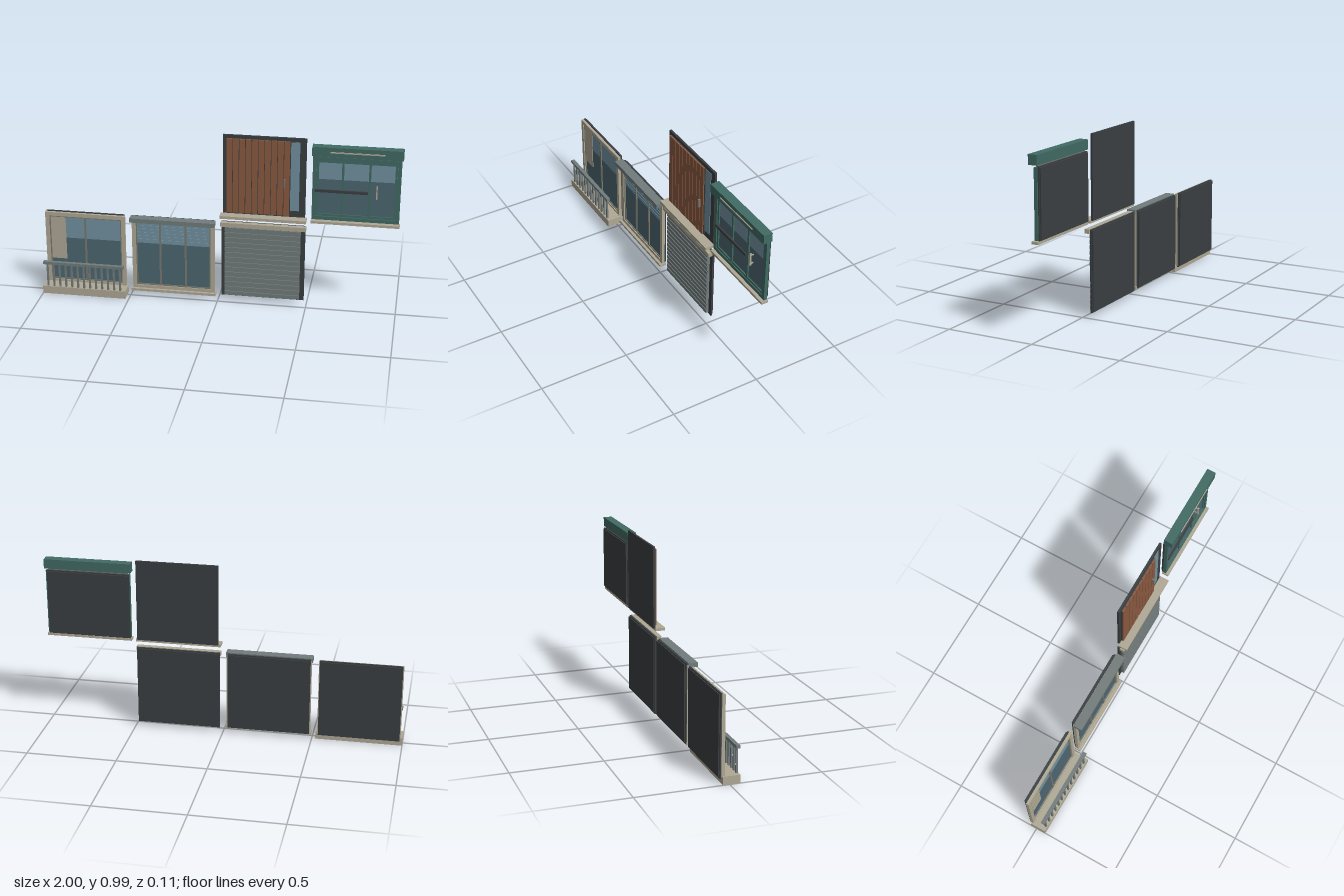
import * as THREE from 'three';

const mat = (name, color) => {
  const m = new THREE.MeshStandardMaterial({ color });
  m.name = name;
  return m;
};

export function createModel() {
  const stone = mat('stone', 0xb0a995);
  const charcoal = mat('charcoal', 0x3a3f41);
  const grey = mat('grey metal', 0x737c7c);
  const green = mat('green paint', 0x426b64);
  const wood = mat('wood', 0x8b5a41);
  const skyGlass = mat('light glass', 0x7293a2);
  const darkGlass = mat('dark glass', 0x4d6772);
  const bronze = mat('bronze', 0x7a7a70);

  const model = new THREE.Group();
  model.name = 'facadeModules';

  // Box given by its limits on each axis
  const box = (parent, name, m, x0, x1, y0, y1, z0, z1) => {
    const mesh = new THREE.Mesh(new THREE.BoxGeometry(x1 - x0, y1 - y0, z1 - z0), m);
    mesh.position.set((x0 + x1) / 2, (y0 + y1) / 2, (z0 + z1) / 2);
    mesh.name = name;
    parent.add(mesh);
    return mesh;
  };

  // Rectangular frame with an open middle
  const frame = (parent, name, m, x0, x1, y0, y1, w, z0, z1) => {
    const s = new THREE.Shape([[x0, y0], [x1, y0], [x1, y1], [x0, y1]].map(p => new THREE.Vector2(...p)));
    s.holes.push(new THREE.Path([[x0 + w, y0 + w], [x0 + w, y1 - w], [x1 - w, y1 - w], [x1 - w, y0 + w]]
      .map(p => new THREE.Vector2(...p))));
    const mesh = new THREE.Mesh(new THREE.ExtrudeGeometry(s, { depth: z1 - z0, bevelEnabled: false }), m);
    mesh.position.z = z0;
    mesh.name = name;
    parent.add(mesh);
  };

  const panel = name => {
    const g = new THREE.Group();
    g.name = name;
    model.add(g);
    return g;
  };

  // Dark rear board in two steps
  const backing = (g, x0, x1, y0, y1) => {
    box(g, 'backingBoard', charcoal, x0, x1, y0, y1, -0.048, -0.039);
    box(g, 'rearBoard', charcoal, x0 + 0.006, x1 - 0.006, y0 + 0.008, y1 - 0.006, -0.055, -0.047);
  };

  // Glass split into a dark lower and a light upper field
  const glazing = (g, x0, x1, y0, ySplit, y1) => {
    box(g, 'lowerGlass', darkGlass, x0, x1, y0, ySplit, -0.04, -0.035);
    box(g, 'upperGlass', skyGlass, x0, x1, ySplit, y1, -0.04, -0.035);
  };

  // Balcony window
  const balcony = panel('balconyWindow');
  backing(balcony, -0.985, -0.535, 0.03, 0.476);
  frame(balcony, 'windowFrame', stone, -0.99, -0.53, 0.035, 0.471, 0.022, -0.041, -0.023);
  frame(balcony, 'sash', bronze, -0.969, -0.551, 0.056, 0.45, 0.008, -0.038, -0.029);
  glazing(balcony, -0.965, -0.555, 0.06, 0.315, 0.446);
  box(balcony, 'mullion', bronze, -0.766, -0.756, 0.06, 0.446, -0.036, -0.028);
  box(balcony, 'curtain', stone, -0.961, -0.875, 0.185, 0.442, -0.036, -0.032);
  box(balcony, 'balconySlab', stone, -1, -0.52, 0, 0.045, -0.035, 0.057);
  box(balcony, 'handrail', grey, -0.992, -0.528, 0.181, 0.197, 0.036, 0.057);
  for (let i = 0; i < 13; i++) {
    const x = -0.97 + i * 0.035;
    box(balcony, 'baluster', grey, x - 0.005, x + 0.005, 0.045, 0.182, 0.042, 0.052);
  }

  // Three-pane window with a blind
  const triple = panel('blindWindow');
  backing(triple, -0.485, -0.025, 0.03, 0.476);
  frame(triple, 'windowFrame', stone, -0.49, -0.02, 0.036, 0.468, 0.022, -0.041, -0.023);
  frame(triple, 'sash', bronze, -0.469, -0.041, 0.057, 0.447, 0.007, -0.038, -0.029);
  glazing(triple, -0.465, -0.045, 0.06, 0.315, 0.446);
  for (let i = 0; i < 6; i++) {
    const y = 0.325 + i * 0.021;
    box(triple, 'blindSlat', skyGlass, -0.462, -0.048, y, y + 0.014, -0.036, -0.0325);
  }
  for (const x of [-0.33, -0.185]) {
    box(triple, 'mullion', bronze, x - 0.005, x + 0.005, 0.06, 0.446, -0.036, -0.028);
  }
  box(triple, 'headerBox', grey, -0.495, -0.015, 0.455, 0.48, -0.036, 0.015);
  box(triple, 'sill', stone, -0.497, -0.013, 0.026, 0.04, -0.045, -0.007);

  // Closed roller shutter
  const shutter = panel('rollerShutter');
  backing(shutter, 0.018, 0.485, 0.026, 0.478);
  box(shutter, 'shutterCurtain', grey, 0.038, 0.46, 0.034, 0.456, -0.04, -0.028);
  const slats = 14, pitch = 0.42 / slats;
  for (let i = 0; i < slats; i++) {
    const y = 0.035 + i * pitch;
    box(shutter, 'shutterSlat', grey, 0.038, 0.46, y, y + pitch * 0.75, -0.03, -0.022);
  }
  box(shutter, 'lintel', stone, 0.015, 0.49, 0.456, 0.48, -0.036, -0.01);

  // Sliding timber screen
  const screen = panel('timberScreen');
  box(screen, 'backingBoard', charcoal, 0.025, 0.48, 0.526, 0.985, -0.055, -0.043);
  box(screen, 'glassStrip', skyGlass, 0.39, 0.445, 0.565, 0.962, -0.044, -0.04);
  box(screen, 'screenCore', charcoal, 0.045, 0.396, 0.54, 0.966, -0.044, -0.035);
  const boards = 10, step = 0.35 / boards;
  for (let i = 0; i < boards; i++) {
    const x = 0.046 + i * step;
    box(screen, 'timberBoard', wood, x, x + step - 0.004, 0.538, 0.968, -0.038, -0.029);
  }
  box(screen, 'pullHandle', bronze, 0.361, 0.369, 0.705, 0.755, -0.03, -0.016);
  box(screen, 'sill', stone, 0.013, 0.49, 0.512, 0.528, -0.045, 0.01);

  // Green window with awning box
  const awning = panel('awningWindow');
  backing(awning, 0.52, 0.985, 0.529, 0.9);
  frame(awning, 'windowFrame', green, 0.517, 0.992, 0.532, 0.896, 0.02, -0.041, -0.023);
  frame(awning, 'sash', green, 0.538, 0.971, 0.553, 0.875, 0.012, -0.038, -0.028);
  glazing(awning, 0.536, 0.973, 0.552, 0.765, 0.877);
  for (const x of [0.68, 0.825]) {
    box(awning, 'mullion', green, x - 0.006, x + 0.006, 0.555, 0.875, -0.036, -0.027);
  }
  box(awning, 'guardBar', charcoal, 0.53, 0.818, 0.694, 0.709, -0.028, -0.018);
  box(awning, 'pullHandle', stone, 0.862, 0.869, 0.672, 0.746, -0.022, -0.012);
  for (const y of [0.68, 0.732]) {
    box(awning, 'handleMount', stone, 0.863, 0.868, y, y + 0.006, -0.036, -0.02);
  }
  box(awning, 'awningBox', green, 0.513, 1, 0.907, 0.96, -0.046, 0.004);
  box(awning, 'awningSlot', stone, 0.61, 0.902, 0.93, 0.937, 0.003, 0.008);
  box(awning, 'sill', stone, 0.514, 0.997, 0.513, 0.527, -0.045, -0.007);
  box(awning, 'boxBracket', bronze, 0.53, 0.98, 0.895, 0.908, -0.038, -0.028);

  return model;
}
